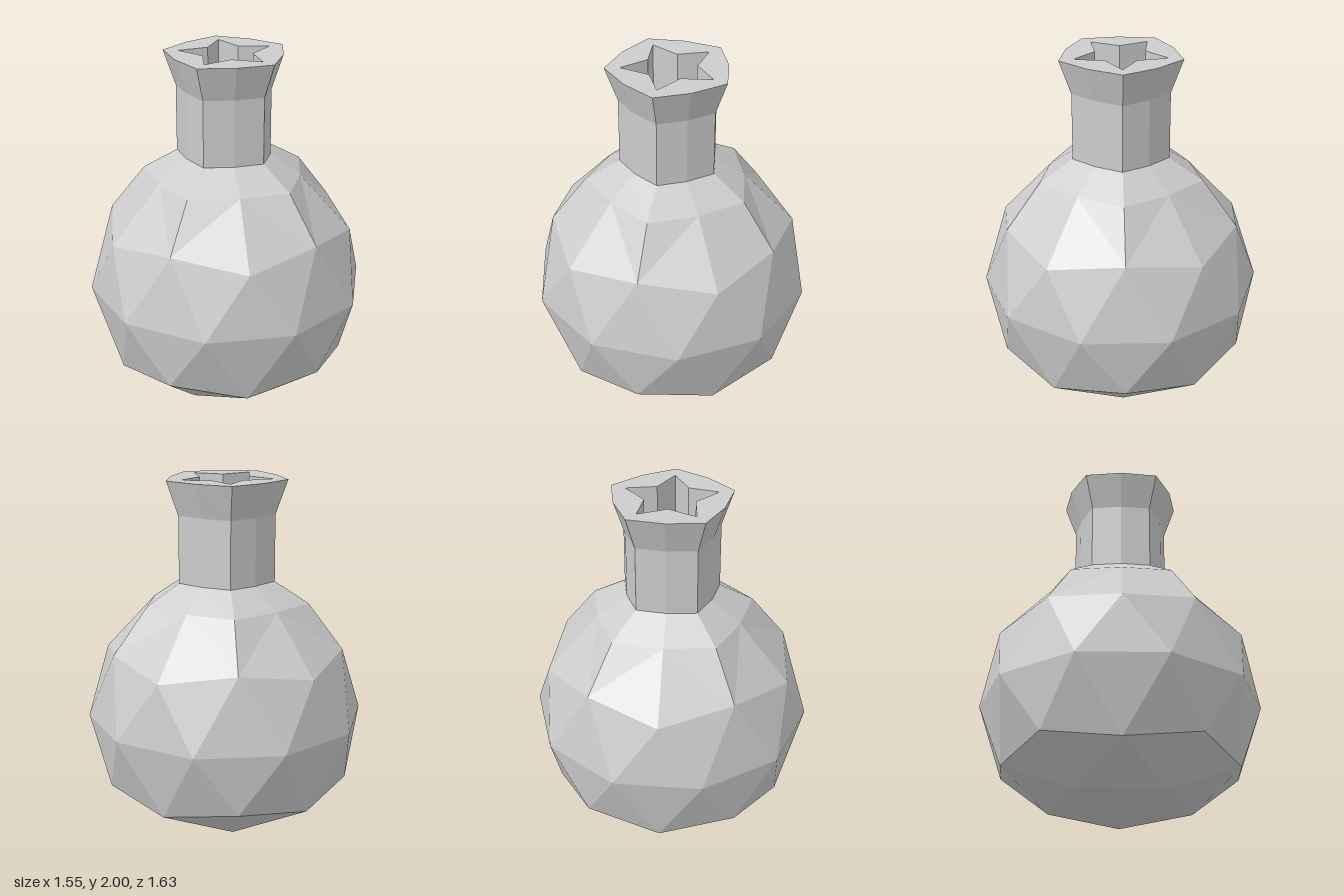
import * as THREE from 'three';

// ring of ten points; odd points (36, 108, 180... degrees) and even points may differ
function ring(rEven, yEven, rOdd = rEven, yOdd = yEven, turn = 0) {
  return Array.from({ length: 10 }, (_, k) => {
    const a = (k * 36 + turn) * Math.PI / 180;
    const r = k % 2 ? rOdd : rEven;
    return [r * Math.cos(a), k % 2 ? yOdd : yEven, r * Math.sin(a)];
  });
}
const at = (points, k) => points[(k + 10) % 10];

function facetMesh(name, triangles, material) {
  const geometry = new THREE.BufferGeometry();
  geometry.setAttribute('position', new THREE.Float32BufferAttribute(triangles.flat(2), 3));
  geometry.computeVertexNormals();
  const mesh = new THREE.Mesh(geometry, material);
  mesh.name = name;
  return mesh;
}

// skin between successive rings
function loft(rings) {
  const tris = [];
  for (let i = 0; i < rings.length - 1; i++) {
    const lo = rings[i], up = rings[i + 1];
    for (let k = 0; k < 10; k++) {
      tris.push([lo[k], up[k], at(up, k + 1)], [lo[k], at(up, k + 1), at(lo, k + 1)]);
    }
  }
  return tris;
}

export function createModel() {
  const model = new THREE.Group();
  model.name = 'flask';
  const grey = new THREE.MeshStandardMaterial({ color: 0xcccccc, flatShading: true });
  grey.name = 'grey';

  // faceted ball with its top and bottom cut flat
  const T = ring(0.43, 1.29, 0.49, 1.29);
  const U = ring(0.729, 0.964, 0.693, 1.028);
  const E = ring(0.815, 0.6, 0.815, 0.6, 18);
  const L = ring(0.693, 0.171, 0.729, 0.236);
  const B = ring(0.43, 0);
  const body = [];
  for (let k = 0; k < 10; k++) {
    const u = at(U, k), l = at(L, k), t = at(T, k), b = at(B, k);
    const e = at(E, k), e0 = at(E, k - 1);
    body.push([e, u, at(U, k + 1)], [e0, u, e]);
    body.push([l, e, at(L, k + 1)], [l, e0, e]);
    if (k % 2) {
      body.push([u, at(T, k - 1), t], [u, t, at(T, k + 1)]);
      body.push([b, l, at(L, k + 1)], [b, at(L, k - 1), l]);
      body.push([[0, 0, 0], b, at(B, k + 2)]);
    } else {
      body.push([u, t, at(U, k + 1)], [at(U, k - 1), t, u]);
      body.push([at(B, k - 1), l, at(B, k + 1)]);
    }
  }
  model.add(facetMesh('body', body, grey));

  // shoulder, straight neck and flared lip
  const lip = ring(0.32, 2, 0.362, 2);
  model.add(facetMesh('neck', loft([
    T, ring(0.256, 1.41, 0.291, 1.41), ring(0.256, 1.8, 0.291, 1.8), lip,
  ]), grey));

  // flat rim and the star-shaped well inside it
  const star = (inner, tip, y) => ring(inner, y, tip, y);
  const mouth = star(0.148, 0.275, 2);
  model.add(facetMesh('rim', loft([lip, mouth]), grey));
  const floor = star(0.127, 0.24, 1.2);
  const well = loft([mouth, star(0.148, 0.275, 1.41), star(0.127, 0.24, 1.4), floor]);
  for (let k = 0; k < 10; k++) well.push([[0, 1.2, 0], at(floor, k + 1), floor[k]]);
  model.add(facetMesh('starWell', well, grey));

  return model;
}
